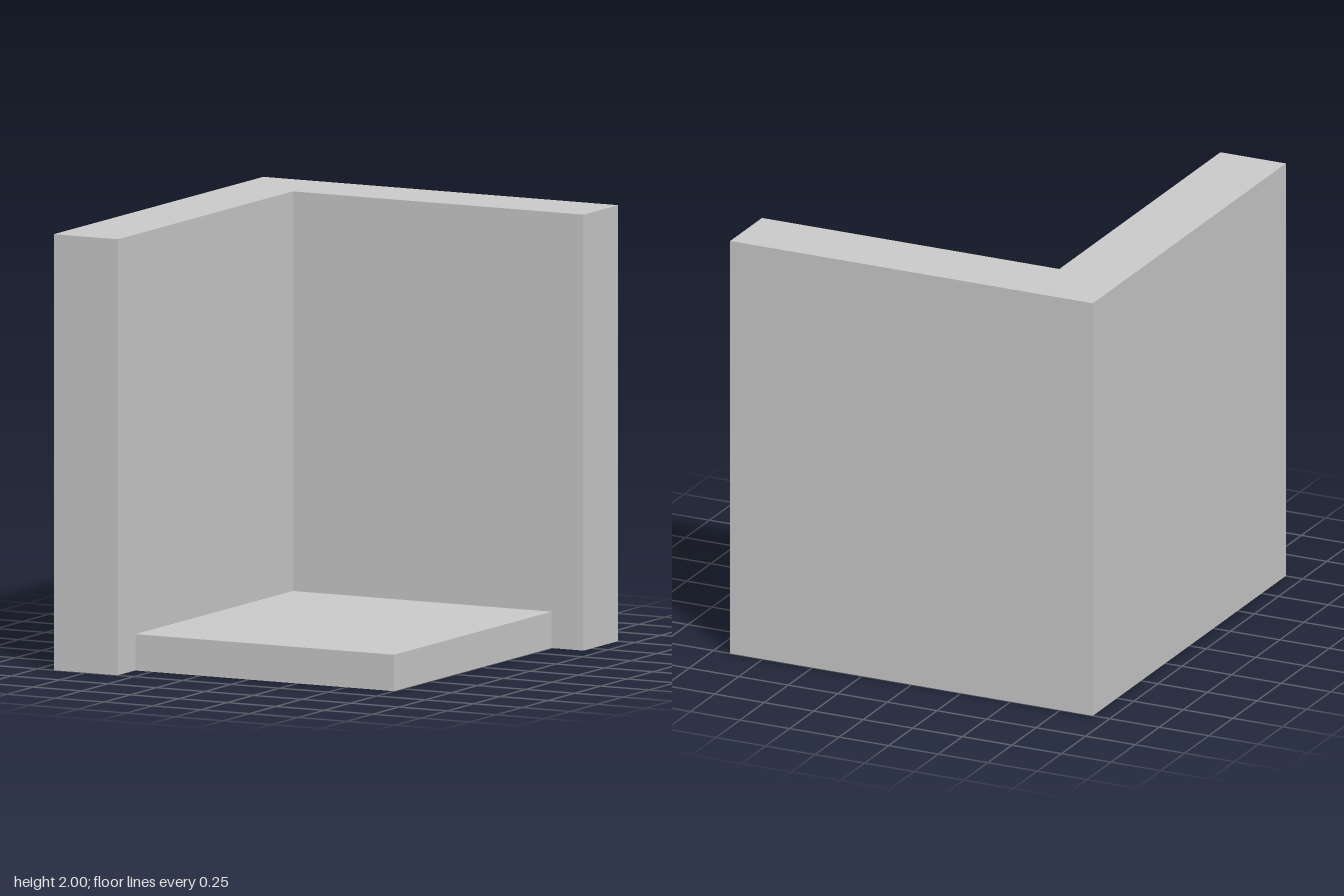
import * as THREE from 'three';

export function createModel() {
  const model = new THREE.Group();
  model.name = 'cornerWithFloor';
  const material = new THREE.MeshStandardMaterial({ color: 0xcccccc, flatShading: true });

  const halfWidth = 0.915, halfDepth = 1, height = 2;
  const innerX = -0.585, innerZ = -0.67; // inside faces of the two walls
  const floorX = 0.75, floorZ = 0.833, floorHeight = 0.167;

  // L-shaped plan of the side and back walls, raised to full height
  const plan = [
    [-halfWidth, -halfDepth], [halfWidth, -halfDepth], [halfWidth, innerZ],
    [innerX, innerZ], [innerX, halfDepth], [-halfWidth, halfDepth],
  ].map(([x, z]) => new THREE.Vector2(x, -z));
  const wallGeometry = new THREE.ExtrudeGeometry(new THREE.Shape(plan), { depth: height, bevelEnabled: false });
  wallGeometry.rotateX(-Math.PI / 2);
  const walls = new THREE.Mesh(wallGeometry, material);
  walls.name = 'cornerWalls';

  // Floor slab set into the corner
  const floor = new THREE.Mesh(
    new THREE.BoxGeometry(floorX - innerX, floorHeight, floorZ - innerZ), material);
  floor.name = 'floorSlab';
  floor.position.set((floorX + innerX) / 2, floorHeight / 2, (floorZ + innerZ) / 2);

  model.add(walls, floor);
  return model;
}
